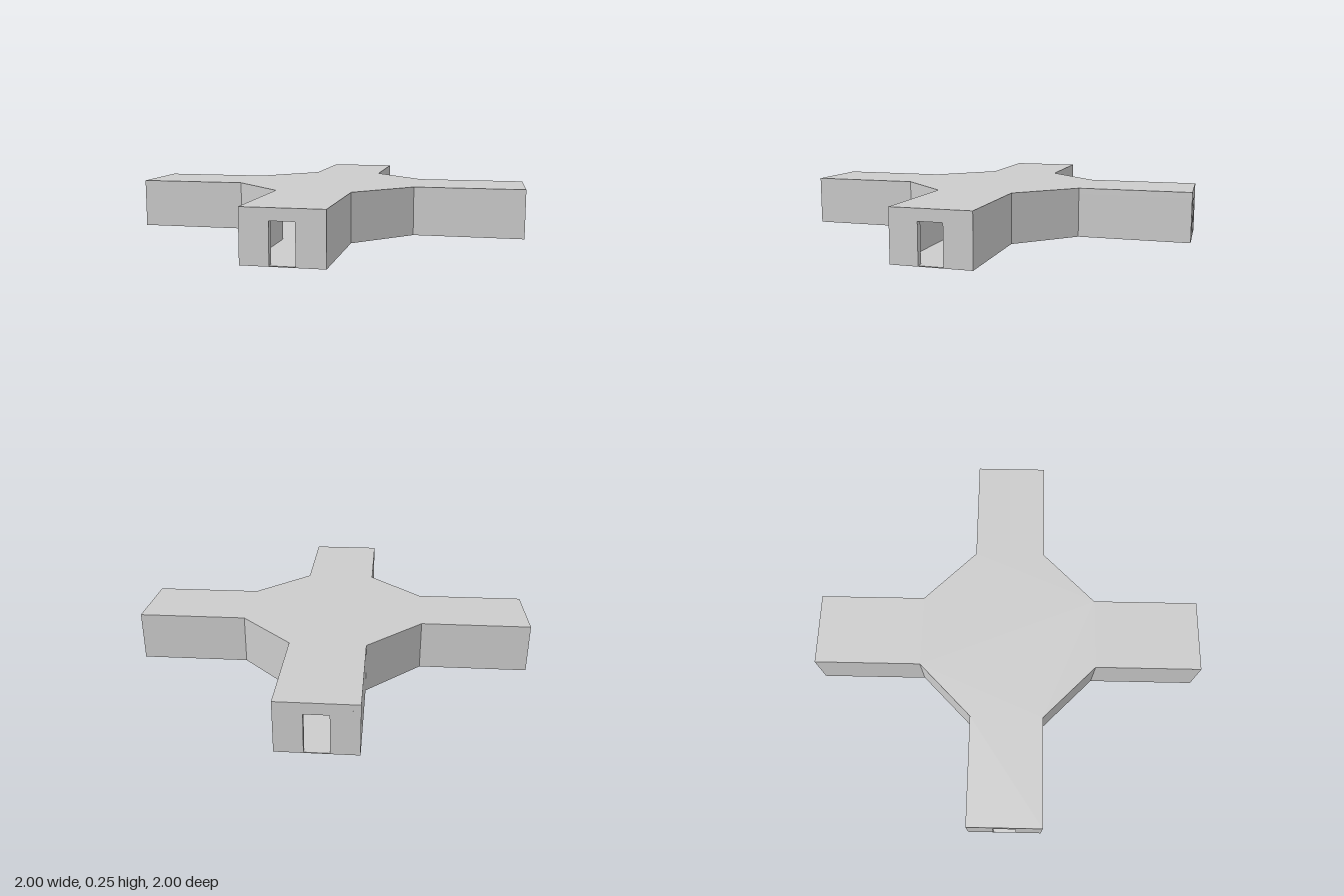
import * as THREE from 'three';

const END = 1, HALF = 0.185, BEND = 0.455;   // outer plan of the cross
const WALL = 0.03, DOOR = 0.056;             // wall thickness, half door width
const FLOOR = 0.004, DOOR_TOP = 0.19, CEILING = 0.215, TOP = 0.245;

export function createModel() {
  const group = new THREE.Group();
  const material = new THREE.MeshStandardMaterial({ color: 0xcccccc, flatShading: true });

  const add = (name, geometry) => {
    const mesh = new THREE.Mesh(geometry, material);
    mesh.name = name;
    group.add(mesh);
    return mesh;
  };

  // Extrude a plan outline upwards between two heights
  const slab = (points, y0, y1) => {
    const shape = new THREE.Shape(points.map(([x, y]) => new THREE.Vector2(x, y)));
    return new THREE.ExtrudeGeometry(shape, { depth: y1 - y0, bevelEnabled: false })
      .rotateX(-Math.PI / 2)
      .translate(0, y0, 0);
  };

  // Cross outline with cut inner corners, one quarter turned four times
  const outline = [];
  for (let i = 0; i < 4; i++) {
    const c = Math.round(Math.cos(i * Math.PI / 2));
    const s = Math.round(Math.sin(i * Math.PI / 2));
    for (const [x, y] of [[END, -HALF], [END, HALF], [BEND, HALF], [HALF, BEND]]) {
      outline.push([c * x - s * y, s * x + c * y]);
    }
  }
  add('floor', slab(outline, 0, FLOOR));
  add('roof', slab(outline, CEILING, TOP));

  // Bent wall of one quarter, running from doorway to doorway
  const inner = HALF - WALL, innerEnd = END - WALL;
  const innerBend = HALF + BEND - WALL * Math.SQRT2 - inner;
  const wall = slab([
    [END, DOOR], [END, HALF], [BEND, HALF], [HALF, BEND], [HALF, END], [DOOR, END],
    [DOOR, innerEnd], [inner, innerEnd], [inner, innerBend],
    [innerBend, inner], [innerEnd, inner], [innerEnd, DOOR],
  ], FLOOR, CEILING);

  // Lintel over one doorway
  const lintel = new THREE.BoxGeometry(DOOR * 2, CEILING - DOOR_TOP, WALL)
    .translate(0, (CEILING + DOOR_TOP) / 2, END - WALL / 2);

  for (let i = 0; i < 4; i++) {
    add('cornerWall' + (i + 1), wall).rotation.y = i * Math.PI / 2;
    add('doorLintel' + (i + 1), lintel).rotation.y = i * Math.PI / 2;
  }
  return group;
}
